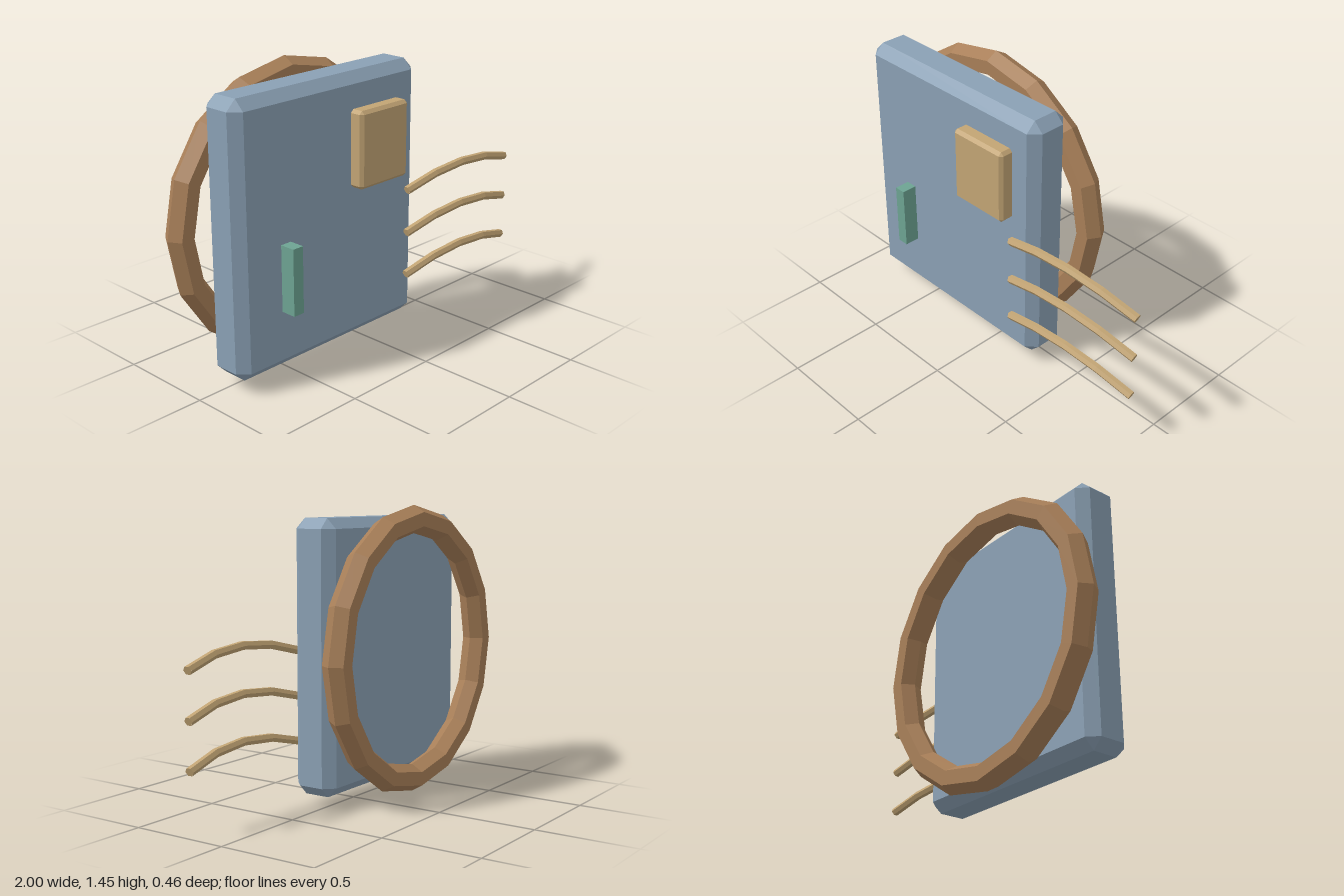
import * as THREE from 'three';
import { ConvexGeometry } from 'three/addons/geometries/ConvexGeometry.js';

const flat = (name, color) => {
  const m = new THREE.MeshStandardMaterial({ color });
  m.name = name;
  m.flatShading = true;
  return m;
};

// Box between two corners with every edge cut off by the bevel
function chamferBox([x0, y0, z0], [x1, y1, z1], bevel) {
  const half = [(x1 - x0) / 2, (y1 - y0) / 2, (z1 - z0) / 2];
  const points = [];
  for (const sx of [-1, 1]) for (const sy of [-1, 1]) for (const sz of [-1, 1]) {
    const signs = [sx, sy, sz];
    for (let axis = 0; axis < 3; axis++) {
      points.push(new THREE.Vector3(
        ...half.map((h, i) => signs[i] * (i === axis ? h : h - bevel))));
    }
  }
  const geometry = new ConvexGeometry(points);
  geometry.translate((x0 + x1) / 2, (y0 + y1) / 2, (z0 + z1) / 2);
  return geometry;
}

export function createModel() {
  const model = new THREE.Group();
  const slate = flat('slate blue', 0x8aa0b4);
  const brown = flat('copper brown', 0xa87f58);
  const sand = flat('sand', 0xc2a474);
  const green = flat('sea green', 0x6da392);

  const add = (name, geometry, material) => {
    const mesh = new THREE.Mesh(geometry, material);
    mesh.name = name;
    model.add(mesh);
    return mesh;
  };

  // Main slab, plate and slot bar on its front
  add('slab', chamferBox([-0.86, 0.063, -0.085], [0.315, 1.398, 0.145], 0.05), slate);
  add('plate', chamferBox([-0.155, 0.848, 0.1], [0.172, 1.23, 0.215], 0.016), sand);
  const bar = add('bar', new THREE.BoxGeometry(0.06, 0.33, 0.11), green);
  bar.position.set(-0.58, 0.524, 0.169);

  // Faceted ring behind the slab
  const ring = add('ring', new THREE.TorusGeometry(0.657, 0.07, 6, 16), brown);
  ring.position.set(-0.273, 0.728, -0.175);

  // Three bowed rods with closed ends
  const radius = 0.022, sides = 6;
  for (let i = 0; i < 3; i++) {
    const y = 0.753 - i * 0.225;
    const curve = new THREE.QuadraticBezierCurve3(
      new THREE.Vector3(0.205, y, 0.183),
      new THREE.Vector3(0.6, y + 0.13, 0.231),
      new THREE.Vector3(0.995, y, 0.183));
    const rod = new THREE.Group();
    rod.name = 'rod' + (i + 1);
    const tube = new THREE.Mesh(new THREE.TubeGeometry(curve, 4, radius, sides), sand);
    tube.name = 'rodTube';
    rod.add(tube);
    for (const t of [0, 1]) {
      const cap = new THREE.Mesh(new THREE.CircleGeometry(radius, sides), sand);
      cap.name = 'rodEnd';
      const end = curve.getPoint(t);
      cap.position.copy(end);
      cap.lookAt(end.clone().addScaledVector(curve.getTangent(t), t ? 1 : -1));
      rod.add(cap);
    }
    model.add(rod);
  }
  return model;
}
